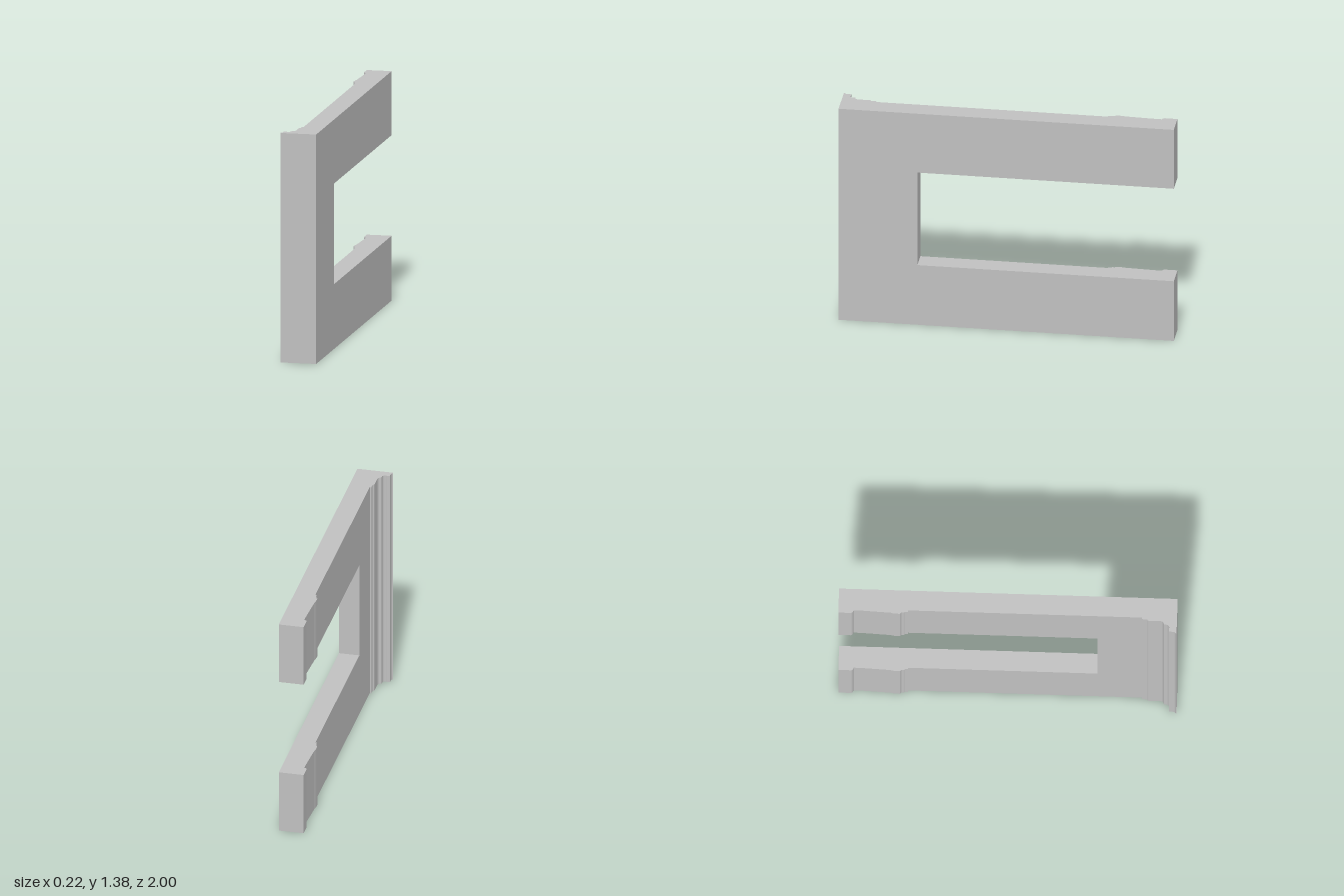
import * as THREE from 'three';

const HEIGHT = 1.38, ARM = 0.39, SPINE_Z = 0.53, FACE_X = 0.108, PANEL_X = -0.016;

// Extrude a plan outline, drawn as (x, -z), upward from y
function slab(name, shape, y, height, material) {
  const geometry = new THREE.ExtrudeGeometry(shape, { depth: height, bevelEnabled: false, curveSegments: 5 });
  geometry.rotateX(-Math.PI / 2);
  const mesh = new THREE.Mesh(geometry, material);
  mesh.name = name;
  mesh.position.y = y;
  return mesh;
}

// Upright with the stepped outer moulding along its edge
function spineShape() {
  const s = new THREE.Shape();
  s.moveTo(FACE_X, -SPINE_Z);
  s.lineTo(PANEL_X, -SPINE_Z);
  s.lineTo(PANEL_X, -0.793);
  s.lineTo(-0.026, -0.793);
  s.lineTo(-0.026, -0.826);
  s.quadraticCurveTo(-0.035, -0.826, -0.035, -0.835);
  s.lineTo(-0.035, -0.905);
  s.quadraticCurveTo(-0.036, -0.922, -0.056, -0.924);
  s.lineTo(-0.056, -0.943);
  s.quadraticCurveTo(-0.066, -0.962, -0.08, -0.954);
  s.lineTo(-0.099, -0.954);
  s.lineTo(-0.099, -0.975);
  s.quadraticCurveTo(-0.1, -0.992, -0.109, -0.993);
  s.lineTo(-0.109, -1);
  s.lineTo(FACE_X, -1);
  s.closePath();
  return s;
}

// Arm with the shallow moulding near its free end
function armShape() {
  const s = new THREE.Shape();
  s.moveTo(FACE_X, 1);
  s.lineTo(-0.043, 1);
  s.lineTo(-0.043, 0.924);
  s.quadraticCurveTo(-0.04, 0.913, -0.026, 0.911);
  s.lineTo(-0.026, 0.87);
  s.lineTo(-0.034, 0.69);
  s.quadraticCurveTo(-0.039, 0.68, -0.039, 0.635);
  s.lineTo(-0.031, 0.628);
  s.quadraticCurveTo(-0.031, 0.606, -0.025, 0.606);
  s.lineTo(-0.025, 0.588);
  s.lineTo(PANEL_X, 0.588);
  s.lineTo(PANEL_X, -SPINE_Z);
  s.lineTo(FACE_X, -SPINE_Z);
  s.closePath();
  return s;
}

export function createModel() {
  const model = new THREE.Group();
  model.name = 'mouldedFrame';
  const grey = new THREE.MeshStandardMaterial({ color: 0xc0c0c0 });
  grey.name = 'plainGrey';

  model.add(slab('upright', spineShape(), 0, HEIGHT, grey));
  model.add(slab('lowerArm', armShape(), 0, ARM, grey));
  model.add(slab('upperArm', armShape(), HEIGHT - 0.385, 0.385, grey));
  return model;
}
